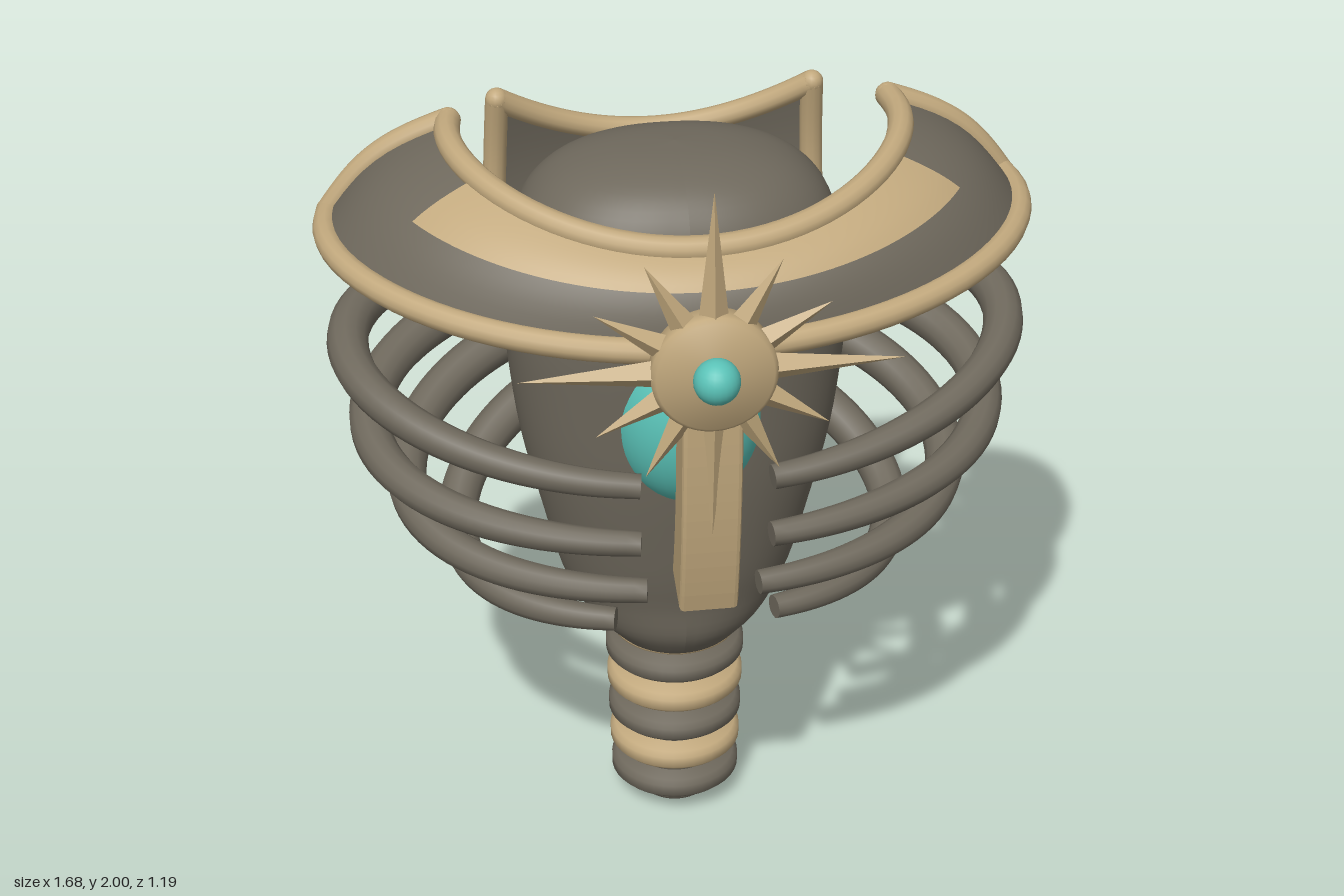
import * as THREE from 'three';
import { toCreasedNormals } from 'three/addons/utils/BufferGeometryUtils.js';
import { RoundedBoxGeometry } from 'three/addons/geometries/RoundedBoxGeometry.js';

const V = (x, y, z) => new THREE.Vector3(x, y, z);
const { lerp, clamp, smoothstep } = THREE.MathUtils;

function material(name, color, side = THREE.FrontSide) {
  const m = new THREE.MeshStandardMaterial({ color, side });
  m.name = name;
  return m;
}

// Tube along fn(t), tapering from r0 to r1, with flat end caps
function taperedTube(fn, r0, r1, seg = 48, sides = 12) {
  const pts = Array.from({ length: 25 }, (_, i) => fn(i / 24));
  const curve = new THREE.CatmullRomCurve3(pts);
  const geo = new THREE.TubeGeometry(curve, seg, 1, sides);
  const pos = geo.attributes.position;
  const p = V(0, 0, 0);
  for (let i = 0; i <= seg; i++) {
    const t = clamp((i - 1) / (seg - 2), 0, 1);
    const r = i === 0 || i === seg ? 0 : lerp(r0, r1, t * t);
    const from = curve.getPointAt(i / seg);
    const to = curve.getPointAt(t);
    for (let j = 0; j <= sides; j++) {
      const k = i * (sides + 1) + j;
      p.fromBufferAttribute(pos, k).sub(from).multiplyScalar(r).add(to);
      pos.setXYZ(k, p.x, p.y, p.z);
    }
  }
  return toCreasedNormals(geo, 0.9);
}

// Curved sheet whose points are given by fn(u, v), both 0..1
function sheet(fn, nu, nv) {
  const geo = new THREE.PlaneGeometry(1, 1, nu, nv);
  const { position, uv } = geo.attributes;
  for (let i = 0; i < position.count; i++) {
    const p = fn(uv.getX(i), uv.getY(i));
    position.setXYZ(i, p.x, p.y, p.z);
  }
  geo.computeVertexNormals();
  return geo;
}

export function createModel() {
  const model = new THREE.Group();
  const dark = material('dark metal', 0x6e685c);
  const darkSheet = material('dark plate', 0x6e685c, THREE.DoubleSide);
  const gold = material('pale gold', 0xc1a87d);
  const goldSheet = material('pale gold inlay', 0xc1a87d, THREE.DoubleSide);
  const teal = material('teal glow', 0x5ac2b7);

  const add = (name, geo, mat, x = 0, y = 0, z = 0, parent = model) => {
    const mesh = new THREE.Mesh(geo, mat);
    mesh.name = name;
    mesh.position.set(x, y, z);
    parent.add(mesh);
    return mesh;
  };

  // Rim of round tubing around the four edges of a sheet
  const rim = (name, fn, r) => {
    const group = new THREE.Group();
    group.name = name;
    const edges = [t => fn(t, 0), t => fn(t, 1), t => fn(0, t), t => fn(1, t)];
    edges.forEach(e => add('rimEdge', taperedTube(e, r, r), gold, 0, 0, 0, group));
    for (const u of [0, 1]) for (const v of [0, 1]) {
      const p = fn(u, v);
      add('rimCorner', new THREE.SphereGeometry(r, 14, 10), gold, p.x, p.y, p.z, group);
    }
    model.add(group);
  };

  // Torso: lathe pressed into a rounded oval
  const profile = new THREE.SplineCurve([
    [0.14, 0.5], [0.17, 0.53], [0.23, 0.6], [0.285, 0.72], [0.33, 0.9], [0.375, 1.1],
    [0.4, 1.3], [0.408, 1.43], [0.4, 1.56], [0.378, 1.65], [0.34, 1.73], [0.265, 1.79],
    [0.145, 1.825], [0, 1.835],
  ].map(p => new THREE.Vector2(...p))).getPoints(52);
  const torso = new THREE.LatheGeometry([new THREE.Vector2(0, 0.5), ...profile], 56);
  const tp = torso.attributes.position;
  for (let i = 0; i < tp.count; i++) {
    const x = tp.getX(i), y = tp.getY(i), z = tp.getZ(i);
    const r = Math.hypot(x, z);
    if (r < 1e-6) continue;
    const power = lerp(1, 0.89, smoothstep(y, 0.5, 1));
    const depth = 1 - 0.23 * smoothstep(y, 0.48, 0.7) - 0.03 * smoothstep(y, 0.8, 1.3);
    const bend = a => Math.sign(a) * Math.pow(Math.abs(a) / r, power) * r;
    tp.setX(i, bend(x));
    tp.setZ(i, bend(z) * depth);
  }
  torso.computeVertexNormals();
  add('torso', torso, dark, 0, 0, -0.115);

  // Heart set into the chest
  add('heart', new THREE.SphereGeometry(1, 40, 28), teal, 0, 1.245, 0.08).scale.set(0.182, 0.24, 0.178);

  // Lower column with alternating discs
  const disc = (r, h, b) => toCreasedNormals(new THREE.LatheGeometry(
    [[0, -h], [r - b, -h], [r, b - h], [r, h - b], [r - b, h], [0, h]]
      .map(p => new THREE.Vector2(...p)), 40), 0.9);
  add('columnCore', disc(0.105, 0.26, 0.02), dark, 0, 0.26, -0.13);
  for (let i = 0; i < 5; i++) {
    add('columnDisc', disc(0.162 + i * 0.003, 0.026, 0.012), i % 2 ? gold : dark, 0, 0.082 + i * 0.091, -0.13);
  }
  add('waistRing', new THREE.TorusGeometry(0.147, 0.012, 10, 40).rotateX(Math.PI / 2), gold, 0, 0.512, -0.125);

  // Ribs: [half width, back z, front z, back y, side y, front y, front gap]
  const ribs = [
    [0.775, -0.532, 0.42, 1.41, 1.39, 1.23, 0.15],
    [0.735, -0.53, 0.42, 1.33, 1.18, 1.08, 0.15],
    [0.655, -0.522, 0.37, 1.22, 1.01, 0.92, 0.13],
    [0.535, -0.505, 0.26, 1.08, 0.83, 0.765, 0.19],
  ];
  for (const side of [1, -1]) {
    for (const [w, zb, zf, yb, ys, yf, gap] of ribs) {
      const start = Math.asin(0.045 / w);
      const end = Math.PI - Math.asin(gap / w);
      const path = t => {
        const a = lerp(start, end, t);
        const c = -Math.cos(a);
        const y = ys + c * (yf - yb) / 2 + c * c * ((yf + yb) / 2 - ys);
        return V(side * w * Math.sin(a), y, (zb + zf) / 2 + c * (zf - zb) / 2);
      };
      add(side > 0 ? 'leftRib' : 'rightRib', taperedTube(path, 0.056, 0.029, 56), dark);
    }
    // Short struts from the spine to the torso
    const strut = add('spineStrut', new RoundedBoxGeometry(0.07, 0.06, 0.15, 2, 0.012), gold, side * 0.17, 1.03, -0.46);
    strut.rotation.y = -side * 0.7;
  }

  // Spine blocks
  for (let i = 0; i < 7; i++) {
    const big = i === 0 || i === 6;
    add('vertebra', new RoundedBoxGeometry(big ? 0.15 : 0.11, 0.08, 0.15, 2, 0.018), dark,
      0, 1.04 + i * 0.082, -0.49 - 0.007 * Math.min(i, 3));
  }
  add('spineCore', new RoundedBoxGeometry(0.08, 0.5, 0.09, 2, 0.015), dark, 0, 1.28, -0.51);

  // Back plate: u across, v upward
  const backPlate = (u, v) => {
    const s = 2 * u - 1;
    return V(lerp(0.395, 0.38, v) * s, lerp(1.45, 1.67 + 0.14 * s * s, v),
      -0.548 + lerp(0.06, 0.095, v) * s * s - 0.015 * Math.sin(Math.PI * v));
  };
  add('backPlate', sheet(backPlate, 24, 8), darkSheet);
  rim('backPlateRim', backPlate, 0.028);

  // Collar: u sweeps around the front, v runs from the inner to the outer edge
  const collar = (u, v) => {
    const a = lerp(-0.17, Math.PI + 0.17, u);
    const f = Math.max(0, Math.sin(a));
    const inner = V(0.52 * Math.cos(a), 1.88 - 0.1 * f * f, -0.12 + 0.45 * Math.sin(a));
    const outer = V(0.808 * Math.cos(a), 1.66 - 0.06 * f * f, -0.12 + 0.578 * Math.sin(a));
    const bulge = 0.025 * Math.sin(Math.PI * v);
    return inner.lerp(outer, v).add(V(bulge * Math.cos(a), bulge, bulge * Math.sin(a)));
  };
  add('collar', sheet(collar, 64, 10), darkSheet);
  rim('collarRim', collar, 0.03);
  const inlay = (u, v) => {
    const p = collar(lerp(0.18, 0.82, u), lerp(0.04, 0.5, v));
    return p.add(V(0, 0.006, 0.004));
  };
  add('collarInlay', sheet(inlay, 48, 6), goldSheet);

  // Breastbone: curved side profile given width
  const bone = new THREE.Shape();
  bone.moveTo(0.492, 1.6);
  bone.quadraticCurveTo(0.512, 1.2, 0.445, 0.925);
  bone.lineTo(0.34, 0.96);
  bone.quadraticCurveTo(0.42, 1.2, 0.395, 1.6);
  const boneGeo = new THREE.ExtrudeGeometry(bone, {
    depth: 0.116, bevelThickness: 0.01, bevelSize: 0.008, bevelSegments: 2, curveSegments: 14,
  });
  add('breastbone', boneGeo.translate(0, 0, -0.058).rotateY(-Math.PI / 2), gold);

  // Sunburst emblem with a gem
  const sun = new THREE.Group();
  sun.name = 'sunburst';
  sun.position.set(0, 1.57, 0.497);
  model.add(sun);
  add('sunDisc', disc(0.14, 0.035, 0.01).rotateX(Math.PI / 2), gold, 0, 0, 0, sun);
  for (let i = 0; i < 12; i++) {
    const length = (i % 3 ? 0.3 : 0.427) - 0.1;
    const ray = toCreasedNormals(new THREE.ConeGeometry(0.036, length, 4), 0.3);
    ray.scale(1, 1, 0.88).translate(0, 0.1 + length / 2, 0).rotateZ(i * Math.PI / 6);
    add('sunRay', ray, gold, 0, 0, 0, sun);
  }
  add('sunGem', new THREE.SphereGeometry(0.052, 24, 16), teal, 0, 0, 0.053, sun);

  return model;
}
